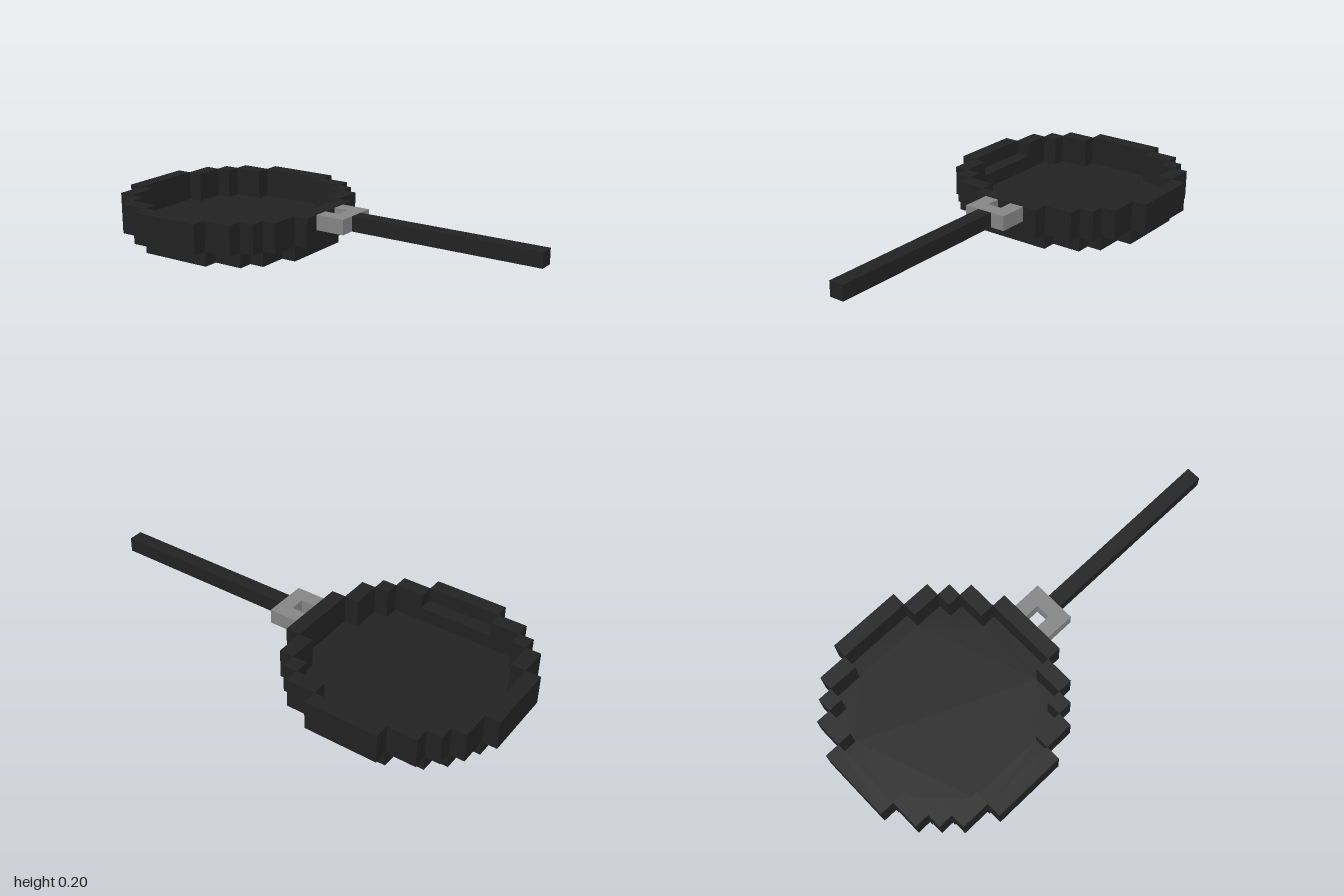
import * as THREE from 'three';

const U = 1 / 15; // one block
const CX = -0.5; // pan centre

export function createModel() {
  const iron = new THREE.MeshStandardMaterial({ color: 0x222222 });
  iron.name = 'blackIron';
  const steel = new THREE.MeshStandardMaterial({ color: 0x868686 });
  steel.name = 'greySteel';

  const model = new THREE.Group();
  model.name = 'fryingPan';

  // Box given by its limits in blocks
  function block(parent, name, material, x0, x1, y0, y1, z0, z1, originX = 0) {
    const g = new THREE.BoxGeometry((x1 - x0) * U, (y1 - y0) * U, (z1 - z0) * U);
    const m = new THREE.Mesh(g, material);
    m.name = name;
    m.position.set(originX + (x0 + x1) * U / 2, (y0 + y1) * U / 2, (z0 + z1) * U / 2);
    parent.add(m);
  }

  // Pan floor: stepped disc, one block high
  const steps = [[6.5, 2.5], [5.5, 4.5], [4.5, 5.5], [2.5, 6.5]];
  const quarter = [];
  steps.forEach(([x, z], i) => {
    quarter.push([x, i ? steps[i - 1][1] : 0], [x, z]);
  });
  quarter.shift();
  const outline = [];
  for (let q = 0; q < 4; q++) {
    for (const [a, b] of quarter) {
      const [x, y] = [[a, b], [-b, a], [-a, -b], [b, -a]][q];
      outline.push(new THREE.Vector2(x * U, y * U));
    }
  }
  const floorGeo = new THREE.ExtrudeGeometry(new THREE.Shape(outline), { depth: U, bevelEnabled: false });
  floorGeo.rotateX(-Math.PI / 2);
  const floor = new THREE.Mesh(floorGeo, iron);
  floor.name = 'panFloor';
  floor.position.x = CX;
  model.add(floor);

  // Rim: ring of wall blocks just outside the floor, two blocks high
  const rim = new THREE.Group();
  rim.name = 'rim';
  model.add(rim);
  for (const s of [-1, 1]) {
    const a = s * 7 - 0.5, b = s * 7 + 0.5;
    block(rim, 'rimSide', iron, a, b, 1, 3, -2.5, 2.5, CX);
    block(rim, 'rimSide', iron, -2.5, 2.5, 1, 3, a, b, CX);
    for (const t of [-1, 1]) {
      const corners = [[2.5, 4.5, 5.5, 6.5], [4.5, 5.5, 4.5, 5.5], [5.5, 6.5, 2.5, 4.5]];
      for (const [x0, x1, z0, z1] of corners) {
        block(rim, 'rimCorner', iron,
          Math.min(s * x0, s * x1), Math.max(s * x0, s * x1), 1, 3,
          Math.min(t * z0, t * z1), Math.max(t * z0, t * z1), CX);
      }
    }
  }
  // Low ledge inside the front wall
  block(rim, 'innerLedge', iron, -2.5, 2.5, 1, 2, 5.5, 6.5, CX);

  // U-shaped bracket joining pan and handle
  const bracket = new THREE.Group();
  bracket.name = 'bracket';
  model.add(bracket);
  block(bracket, 'bracketArm', steel, 0, 1, 2, 3, 0.5, 1.5);
  block(bracket, 'bracketArm', steel, 0, 1, 2, 3, -1.5, -0.5);
  block(bracket, 'bracketBar', steel, 1, 2, 2, 3, -1.5, 1.5);

  // Handle
  block(model, 'handle', iron, 2, 15, 2, 3, -0.5, 0.5);

  return model;
}
